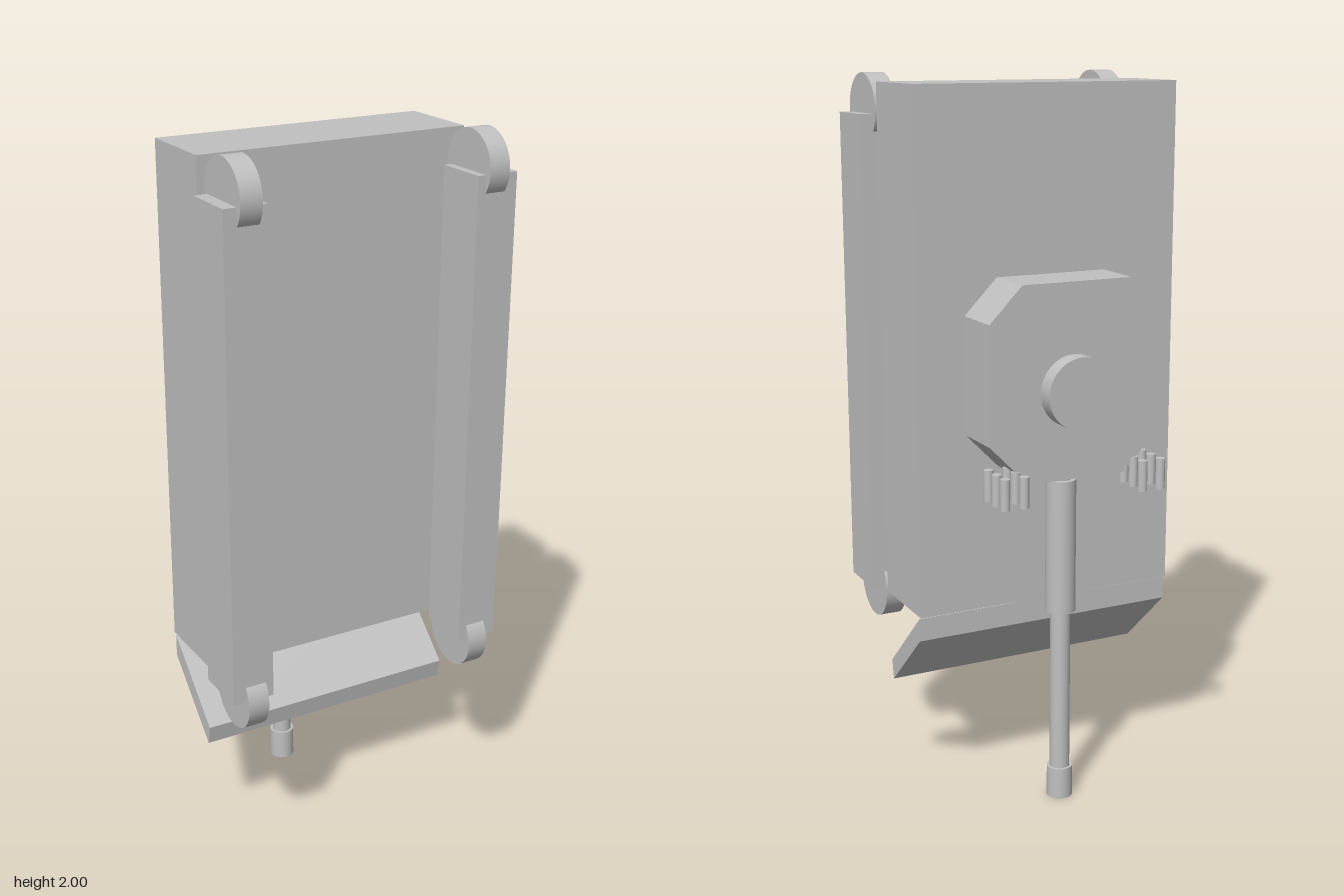
import * as THREE from 'three';

export function createModel() {
  const model = new THREE.Group();
  model.name = 'tank';
  const grey = new THREE.MeshStandardMaterial({ color: 0xc0c0c0 });
  grey.name = 'plain grey';

  function add(name, geometry, x = 0, y = 0, z = 0) {
    const mesh = new THREE.Mesh(geometry, grey);
    mesh.name = name;
    mesh.position.set(x, y, z);
    model.add(mesh);
    return mesh;
  }
  // Box given by its lower and upper corner
  function box(name, [x0, y0, z0], [x1, y1, z1]) {
    return add(name, new THREE.BoxGeometry(x1 - x0, y1 - y0, z1 - z0),
      (x0 + x1) / 2, (y0 + y1) / 2, (z0 + z1) / 2);
  }
  // Upright cylinder between two heights
  function rod(name, radius, y0, y1, x, z) {
    return add(name, new THREE.CylinderGeometry(radius, radius, y1 - y0, 32), x, (y0 + y1) / 2, z);
  }
  function prism(points, depth) {
    const shape = new THREE.Shape(points.map(([x, y]) => new THREE.Vector2(x, y)));
    return new THREE.ExtrudeGeometry(shape, { depth, bevelEnabled: false });
  }

  // Hull
  box('hull', [-0.385, 0.57, -0.12], [0.385, 1.98, 0.12]);

  // Sloping nose plate: side profile (shape x = -z), extruded across the width
  const nose = prism([[-0.1, 0.37], [-0.09, 0.315], [0.11, 0.5], [0.11, 0.565]], 0.77);
  nose.rotateY(Math.PI / 2);
  add('nosePlate', nose, -0.385);

  // Tracks with a wheel at each end
  for (const side of [-1, 1]) {
    const track = box('track', [-0.059, 0.57, 0.165], [0.059, 1.895, 0.32]);
    track.position.x = side * 0.356;
    for (const y of [0.557, 1.905]) {
      const wheel = new THREE.CylinderGeometry(0.096, 0.096, 0.059, 48);
      wheel.rotateZ(Math.PI / 2);
      add('wheel', wheel, side * 0.349, y, 0.243);
    }
  }

  // Turret: octagon with cut corners
  const turret = [
    [-0.16, 0.975], [0.16, 0.975], [0.253, 1.07], [0.253, 1.39],
    [0.16, 1.485], [-0.16, 1.485], [-0.253, 1.39], [-0.253, 1.07],
  ];
  add('turret', prism(turret, 0.151), 0, 0, -0.286);
  box('gunMantlet', [-0.15, 0.955, -0.278], [0.15, 0.976, -0.136]);

  // Hatch
  const hatch = new THREE.CylinderGeometry(0.097, 0.097, 0.06, 48);
  hatch.rotateX(Math.PI / 2);
  add('hatch', hatch, 0.01, 1.198, -0.305);

  // Gun
  rod('barrel', 0.028, 0.02, 0.96, 0, -0.197);
  rod('barrelSleeve', 0.042, 0.557, 0.935, 0, -0.197);
  rod('muzzle', 0.036, 0, 0.09, 0, -0.197);

  // Smoke launchers, two by three on each side
  for (const side of [-1, 1])
    for (const x of [0.177, 0.232])
      for (const z of [-0.33, -0.28, -0.23])
        rod('smokeLauncher', 0.013, 0.912, 0.996, side * x, z);

  return model;
}
